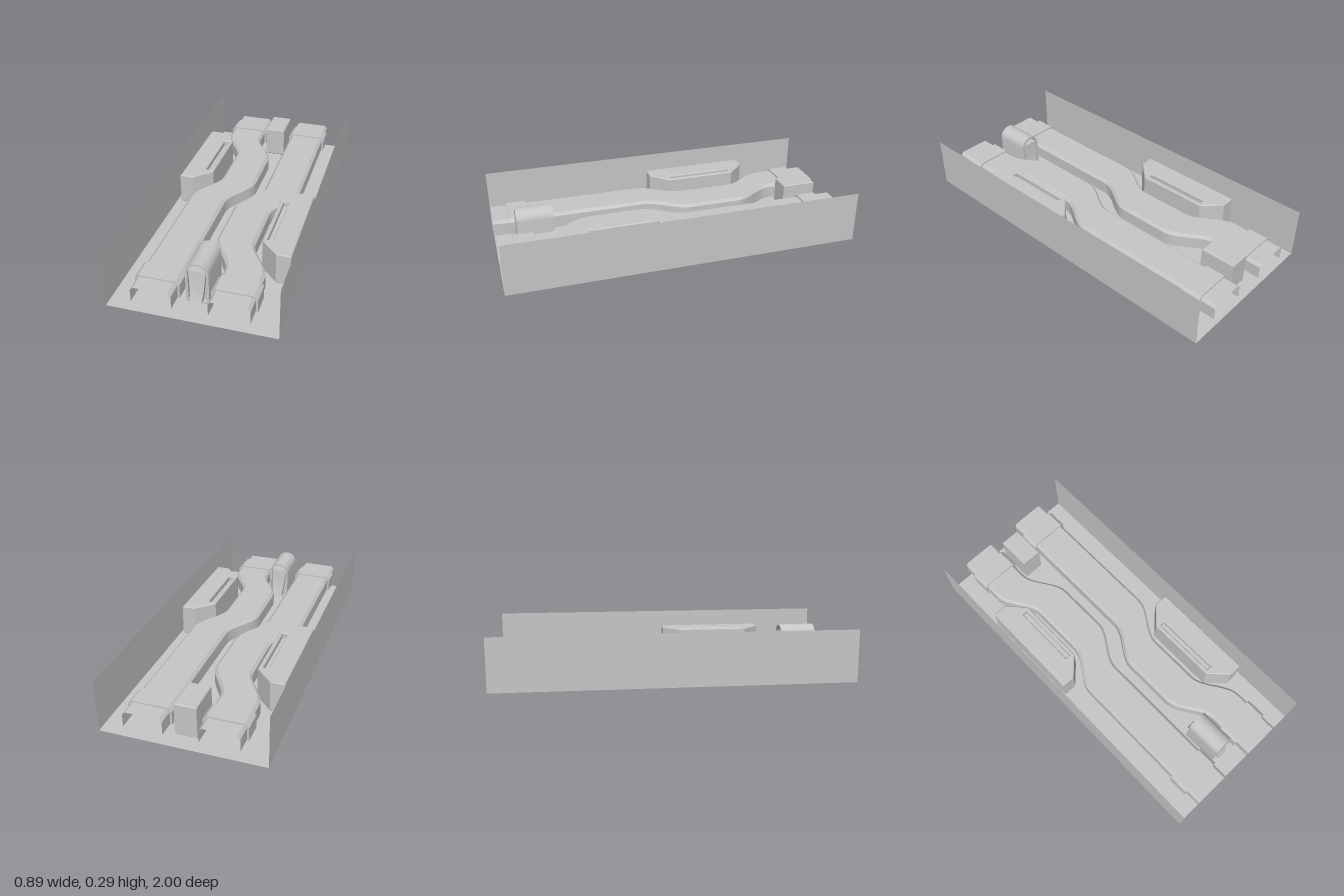
import * as THREE from 'three';
import { toCreasedNormals } from 'three/addons/utils/BufferGeometryUtils.js';

const grey = new THREE.MeshStandardMaterial({ color: 0xc6c6c6, side: THREE.DoubleSide });
grey.name = 'plain grey';

function add(parent, name, geometry, x = 0, y = 0, z = 0) {
  const mesh = new THREE.Mesh(geometry, grey);
  mesh.name = name;
  mesh.position.set(x, y, z);
  parent.add(mesh);
  return mesh;
}

function shapeOf(points) {
  return new THREE.Shape(points.map(([x, y]) => new THREE.Vector2(x, y)));
}

// Skin over a list of equal-length cross-sections
function loft(rings, closed) {
  const n = rings[0].length, index = [];
  for (let i = 0; i < rings.length - 1; i++) {
    for (let j = 0; j < (closed ? n : n - 1); j++) {
      const a = i * n + j, b = i * n + (j + 1) % n;
      index.push(a, a + n, b, b, a + n, b + n);
    }
  }
  const g = new THREE.BufferGeometry();
  g.setAttribute('position', new THREE.Float32BufferAttribute(rings.flat(2), 3));
  g.setIndex(index);
  return toCreasedNormals(g, 0.5);
}

// Inverted channel section: half width w, top height t, chamfer c
const FOOT = 0.06;
const section = (w, t, c) => [[-w, FOOT], [-w, t - c], [-w + c, t], [w - c, t], [w, t - c], [w, FOOT]];

// Channel that swerves sideways around one housing
function channelGeometry(x0, shift, zMid) {
  const rings = [];
  const row = z => {
    const s = THREE.MathUtils.smoothstep(Math.abs(z - zMid), 0.15, 0.41);
    const x = x0 + shift * (1 - s);
    rings.push(section(0.106, 0.147, 0.016).map(([px, py]) => [x + px, py, z]));
  };
  row(-1);
  for (let i = -16; i <= 16; i++) row(zMid + i * 0.41 / 16);
  row(1);
  return loft(rings, false);
}

// Thin collar that wraps over a channel
function collarGeometry() {
  const inner = section(0.108, 0.147, 0.018).reverse();
  return new THREE.ExtrudeGeometry(shapeOf([...section(0.119, 0.156, 0.021), ...inner]),
    { depth: 0.115, bevelEnabled: false }).translate(0, 0, -0.0575);
}

// Upright prism from a plan outline, with a fine bevel on its rim
function prism(shape, bottom, top) {
  const b = 0.005;
  return new THREE.ExtrudeGeometry(shape, {
    depth: top - bottom - 2 * b, bevelSize: b, bevelThickness: b, bevelOffset: -b, bevelSegments: 1,
  }).rotateX(-Math.PI / 2).translate(0, bottom + b, 0);
}

// Side housing with chamfered inner corners and a recessed slot, inner side at +x
function makeHousing() {
  const group = new THREE.Group();
  const plan = shapeOf([[-0.088, -0.305], [-0.01, -0.305], [0.088, -0.205],
    [0.088, 0.205], [-0.01, 0.305], [-0.088, 0.305]]);
  plan.holes.push(shapeOf([[0.036, -0.19], [0.036, 0.19], [0.066, 0.19], [0.066, -0.19]]));
  add(group, 'housingBody', prism(plan, 0.022, 0.205));
  add(group, 'slotFloor', new THREE.BoxGeometry(0.034, 0.008, 0.384), 0.051, 0.17, 0);
  return group;
}

// Arched post with an open top and a tapered tongue passing through it
function makePost() {
  const group = new THREE.Group();
  const arch = new THREE.Shape();
  arch.moveTo(-0.061, 0.022);
  arch.lineTo(0.061, 0.022);
  arch.lineTo(0.061, 0.2);
  arch.absarc(0, 0.2, 0.061, 0, Math.PI, false);
  arch.closePath();
  const hole = new THREE.Path();
  hole.moveTo(-0.048, 0.036);
  hole.lineTo(-0.048, 0.2);
  hole.absarc(0, 0.2, 0.048, Math.PI, 0, true);
  hole.lineTo(0.048, 0.036);
  hole.closePath();
  arch.holes.push(hole);
  const shell = new THREE.ExtrudeGeometry(arch, { depth: 0.206, bevelEnabled: false, curveSegments: 24 });
  add(group, 'postShell', toCreasedNormals(shell.translate(0, 0, -0.103), 0.5));
  add(group, 'postCore', new THREE.BoxGeometry(0.098, 0.177, 0.17), 0, 0.1245, 0);
  // each level: height, half width, half depth
  const levels = [[0.213, 0, 0], [0.213, 0.046, 0.098], [0.085, 0.034, 0.11], [0.036, 0.026, 0.127], [0.036, 0, 0]];
  const rings = levels.map(([y, w, d]) => [[-w, y, d], [-w, y, -d], [w, y, -d], [w, y, d]]);
  add(group, 'postTongue', loft(rings, true).toNonIndexed?.() ?? loft(rings, true));
  return group;
}

export function createModel() {
  const model = new THREE.Group();
  model.name = 'channelTray';

  // Open tray
  add(model, 'floor', new THREE.PlaneGeometry(0.894, 2).rotateX(-Math.PI / 2));
  for (const side of [-1, 1]) {
    add(model, side < 0 ? 'rightWall' : 'leftWall',
      new THREE.PlaneGeometry(2, 0.295).rotateY(side * Math.PI / 2), side * 0.447, 0.1475, 0);
  }

  // Channels, collars and housings
  for (const side of [-1, 1]) {
    const label = side < 0 ? 'right' : 'left';
    const zMid = side < 0 ? -0.295 : 0.318;
    add(model, label + 'Channel', channelGeometry(side * 0.2, -side * 0.118, zMid));
    for (const end of [-1, 1]) {
      add(model, label + (end < 0 ? 'RearCollar' : 'FrontCollar'), collarGeometry(), side * 0.2, 0, end * 0.853);
    }
    const housing = makeHousing();
    housing.name = label + 'Housing';
    housing.position.set(side < 0 ? -0.318 : 0.326, 0, zMid);
    housing.rotation.y = side < 0 ? 0 : Math.PI;
    model.add(housing);
  }

  // Front post and rear block
  const post = makePost();
  post.name = 'frontPost';
  post.position.z = 0.777;
  model.add(post);
  const square = shapeOf([[-0.06, -0.1], [0.06, -0.1], [0.06, 0.1], [-0.06, 0.1]]);
  add(model, 'rearBlock', prism(square, 0.022, 0.205), 0, 0, -0.83);
  return model;
}
